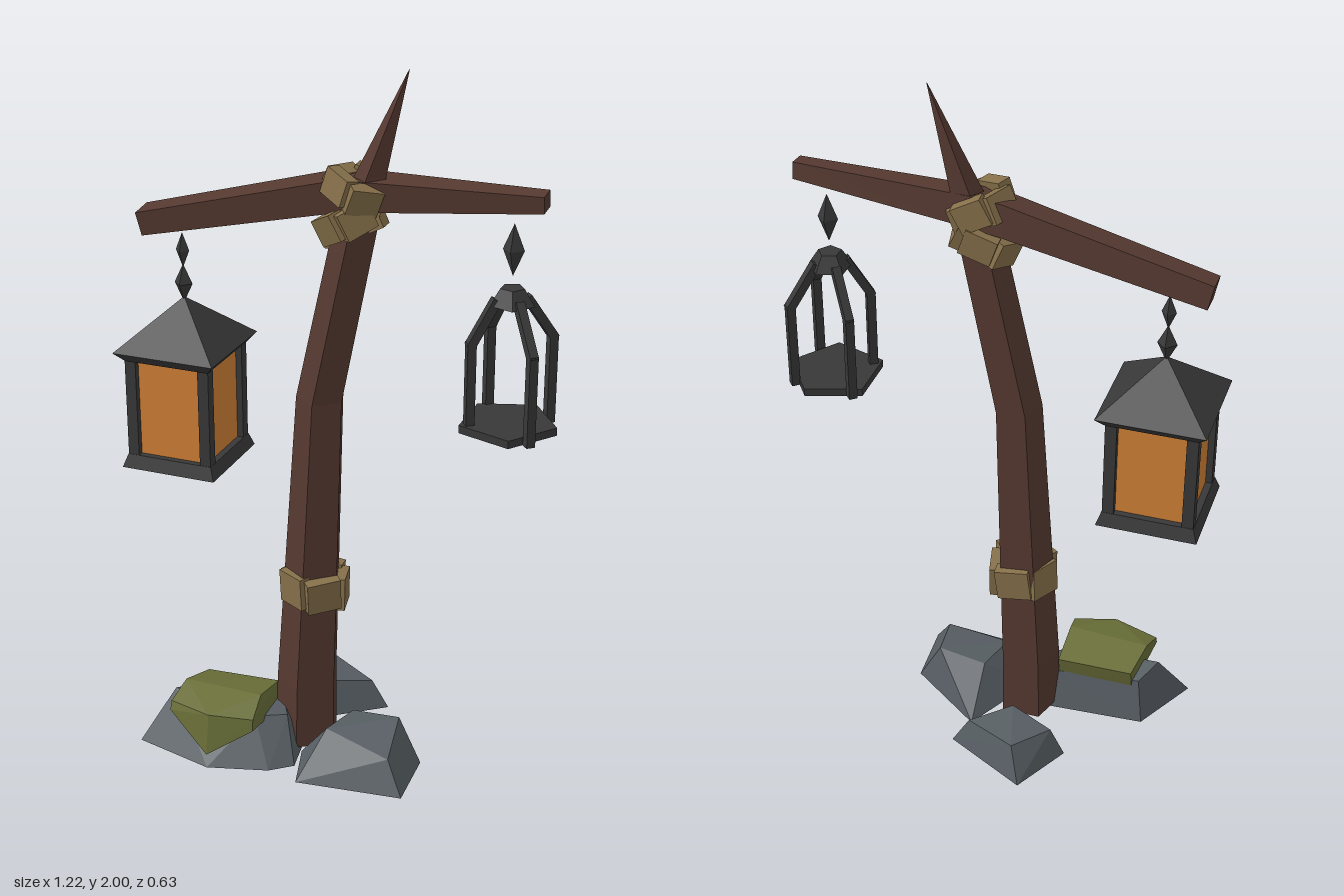
import * as THREE from 'three';
import { ConvexGeometry } from 'three/addons/geometries/ConvexGeometry.js';

const V = (x, y, z) => new THREE.Vector3(x, y, z);

function material(name, color) {
  const m = new THREE.MeshStandardMaterial({ color, flatShading: true });
  m.name = name;
  return m;
}

// Skin a list of equal-sized rings and close both ends
function loft(rings) {
  const p = [];
  const n = rings[0].length;
  const tri = (...vs) => vs.forEach(v => p.push(v.x, v.y, v.z));
  for (let i = 0; i < rings.length - 1; i++) {
    for (let j = 0; j < n; j++) {
      const k = (j + 1) % n, a = rings[i], b = rings[i + 1];
      tri(a[j], a[k], b[k]);
      tri(a[j], b[k], b[j]);
    }
  }
  const first = rings[0], last = rings[rings.length - 1];
  for (let j = 1; j < n - 1; j++) {
    tri(first[0], first[j + 1], first[j]);
    tri(last[0], last[j], last[j + 1]);
  }
  const g = new THREE.BufferGeometry();
  g.setAttribute('position', new THREE.Float32BufferAttribute(p, 3));
  g.computeVertexNormals();
  return g;
}

// Square frustum: half widths at bottom and top
function frustum(bottom, top, y0, y1) {
  const g = new THREE.CylinderGeometry(top * Math.SQRT2, bottom * Math.SQRT2, y1 - y0, 4);
  return g.rotateY(Math.PI / 4).translate(0, (y0 + y1) / 2, 0);
}

export function createModel() {
  const root = new THREE.Group();
  root.name = 'lanternPost';
  const wood = material('wood', 0x553930);
  const iron = material('iron', 0x383838);
  const rope = material('rope', 0x86704a);
  const stone = material('stone', 0x565d62);
  const moss = material('moss', 0x696e38);
  const glass = material('amberGlass', 0xd08036);

  const add = (parent, name, geometry, mat) => {
    const m = new THREE.Mesh(geometry, mat);
    m.name = name;
    parent.add(m);
    return m;
  };
  const group = (name, x, y, z, parent = root) => {
    const g = new THREE.Group();
    g.name = name;
    g.position.set(x, y, z);
    parent.add(g);
    return g;
  };

  // Bent five-sided post ending in a spike: x, y, z, radius
  const postRings = [
    [-0.092, 0.015, 0.037, 0.095], [-0.09, 0.2, 0.035, 0.092],
    [-0.055, 1.08, 0.017, 0.07], [0.052, 1.6, 0.012, 0.064],
    [0.085, 1.72, 0.006, 0.045], [0.18, 2.0, 0, 0.001],
  ].map(([x, y, z, r]) => Array.from({ length: 5 }, (_, i) => {
    const a = i * Math.PI * 2 / 5;
    return V(x + r * Math.sin(a), y, z + r * Math.cos(a));
  }));
  add(root, 'post', loft(postRings), wood);

  // Crooked crossbeam: x, y, z, half height, half depth
  const beamRings = [
    [-0.575, 1.525, 0.017, 0.033, 0.037], [-0.03, 1.66, 0.005, 0.045, 0.045],
    [0.06, 1.672, 0.005, 0.043, 0.043], [0.555, 1.702, 0.015, 0.023, 0.026],
  ].map(([x, y, z, h, d]) => Array.from({ length: 4 }, (_, i) => {
    const a = Math.PI / 4 + i * Math.PI / 2 + 0.12;
    const up = Math.cos(a) * Math.SQRT2 * h;
    return V(x + (x < -0.5 ? -up * 0.2 : 0), y + up, z + Math.sin(a) * Math.SQRT2 * d);
  }));
  add(root, 'crossbeam', loft(beamRings), wood);

  // Chunky rope bindings: five uneven blocks around the post
  const binding = (name, x, y, z, dist, width, height, tilt) => {
    const g = group(name, x, y, z);
    g.rotation.z = tilt;
    for (let i = 0; i < 5; i++) {
      const side = group('ropeSide', 0, 0, 0, g);
      side.rotation.y = (i + 0.5) * Math.PI * 2 / 5;
      const wobble = [0.1, -0.08, 0.06, -0.12, 0.09][i];
      const block = add(side, 'ropeBlock', new THREE.BoxGeometry(width, height, 0.04), rope);
      block.position.set(0, wobble * 0.06, dist);
      block.rotation.set(wobble * 0.6, wobble, wobble);
    }
  };
  binding('lowerBinding', -0.068, 0.505, 0.03, 0.068, 0.098, 0.095, -0.06);
  binding('middleBinding', 0.03, 1.59, 0.015, 0.062, 0.09, 0.075, 0.4);
  binding('upperBinding', 0.045, 1.675, 0.013, 0.06, 0.088, 0.075, -0.42);

  // Chain links as stretched diamonds
  const link = (parent, y0, y1, r) => {
    const g = new THREE.OctahedronGeometry(1);
    g.scale(r, (y1 - y0) / 2, r);
    add(parent, 'chainLink', g, iron).position.y = (y0 + y1) / 2;
  };

  // Square lantern with amber glass
  const lit = group('glassLantern', -0.463, 0, 0.015);
  link(lit, 1.4, 1.5, 0.02);
  link(lit, 1.3, 1.41, 0.027);
  add(lit, 'roof', frustum(0.15, 0.001, 1.18, 1.315), iron);
  add(lit, 'eaves', frustum(0.125, 0.15, 1.152, 1.18), iron);
  add(lit, 'glass', frustum(0.108, 0.108, 0.86, 1.16), glass);
  add(lit, 'base', frustum(0.14, 0.127, 0.835, 0.873), iron);
  for (const sx of [-1, 1]) {
    for (const sz of [-1, 1]) {
      const bar = add(lit, 'cornerBar', new THREE.BoxGeometry(0.032, 0.3, 0.032), iron);
      bar.position.set(sx * 0.11, 1.01, sz * 0.11);
    }
  }

  // Open lantern: five-sided tray, four bent bars and a cap
  const open = group('openLantern', 0.473, 0, 0.015);
  link(open, 1.497, 1.637, 0.029);
  const tray = new THREE.CylinderGeometry(0.135, 0.135, 0.022, 5, 1, false, Math.PI / 2);
  add(open, 'tray', tray, iron).position.y = 1.084;
  const cap = new THREE.CylinderGeometry(0.033, 0.062, 0.045, 5, 1, false, Math.PI / 2);
  add(open, 'cap', cap, iron).position.y = 1.443;
  for (const [x, z] of [[-0.085, -0.095], [0.088, 0.097], [-0.087, 0.062], [0.09, -0.08]]) {
    const arm = group('bentBar', 0, 0, 0, open);
    arm.rotation.y = Math.atan2(-z, x);
    const r = Math.hypot(x, z), w = 0.024;
    const upright = add(arm, 'upright', new THREE.BoxGeometry(w, 0.25, w), iron);
    upright.position.set(r, 1.2, 0);
    const dx = 0.045 - r, dy = 0.11;
    const slope = add(arm, 'slope', new THREE.BoxGeometry(w, Math.hypot(dx, dy) + 0.015, w), iron);
    slope.position.set(r + dx / 2, 1.32 + dy / 2, 0);
    slope.rotation.z = Math.atan2(-dx, dy);
  }

  // Rocks and moss as convex lumps
  const lump = (name, mat, points) =>
    add(root, name, new ConvexGeometry(points.map(p => V(...p))), mat);
  lump('leftRock', stone, [
    [-0.54, 0, 0.24], [-0.44, 0, 0.05], [-0.3, 0, 0.3], [-0.13, 0, 0.25], [-0.07, 0, 0.2], [-0.1, 0, 0.03],
    [-0.46, 0.15, 0.16], [-0.42, 0.13, 0.08], [-0.2, 0.125, 0.18], [-0.12, 0.12, 0.13], [-0.16, 0.12, 0.06],
  ]);
  lump('rightRock', stone, [
    [-0.035, 0, 0.275], [0.27, 0, 0.24], [0.26, 0, 0.05], [0.04, 0, -0.11], [-0.08, 0, 0.12],
    [0.045, 0.115, 0.03], [0.19, 0.13, 0.04], [0.215, 0.09, 0.2], [0.01, 0.115, 0.15],
  ]);
  lump('backRock', stone, [
    [-0.17, 0, -0.32], [0.07, 0, -0.195], [-0.105, 0, -0.06], [-0.26, 0, -0.15],
    [-0.135, 0.1, -0.27], [0.02, 0.085, -0.19], [-0.09, 0.105, -0.11], [-0.22, 0.09, -0.16],
  ]);
  lump('mossPatch', moss, [
    [-0.43, 0.165, 0.25], [-0.43, 0.14, 0.26], [-0.17, 0.165, 0.26], [-0.17, 0.13, 0.265],
    [-0.295, 0.17, 0.29], [-0.295, 0.05, 0.31], [-0.42, 0.195, 0.17], [-0.18, 0.2, 0.18],
    [-0.4, 0.17, 0.06], [-0.18, 0.175, 0.05], [-0.4, 0.09, 0.08], [-0.18, 0.09, 0.07],
  ]);

  return root;
}
